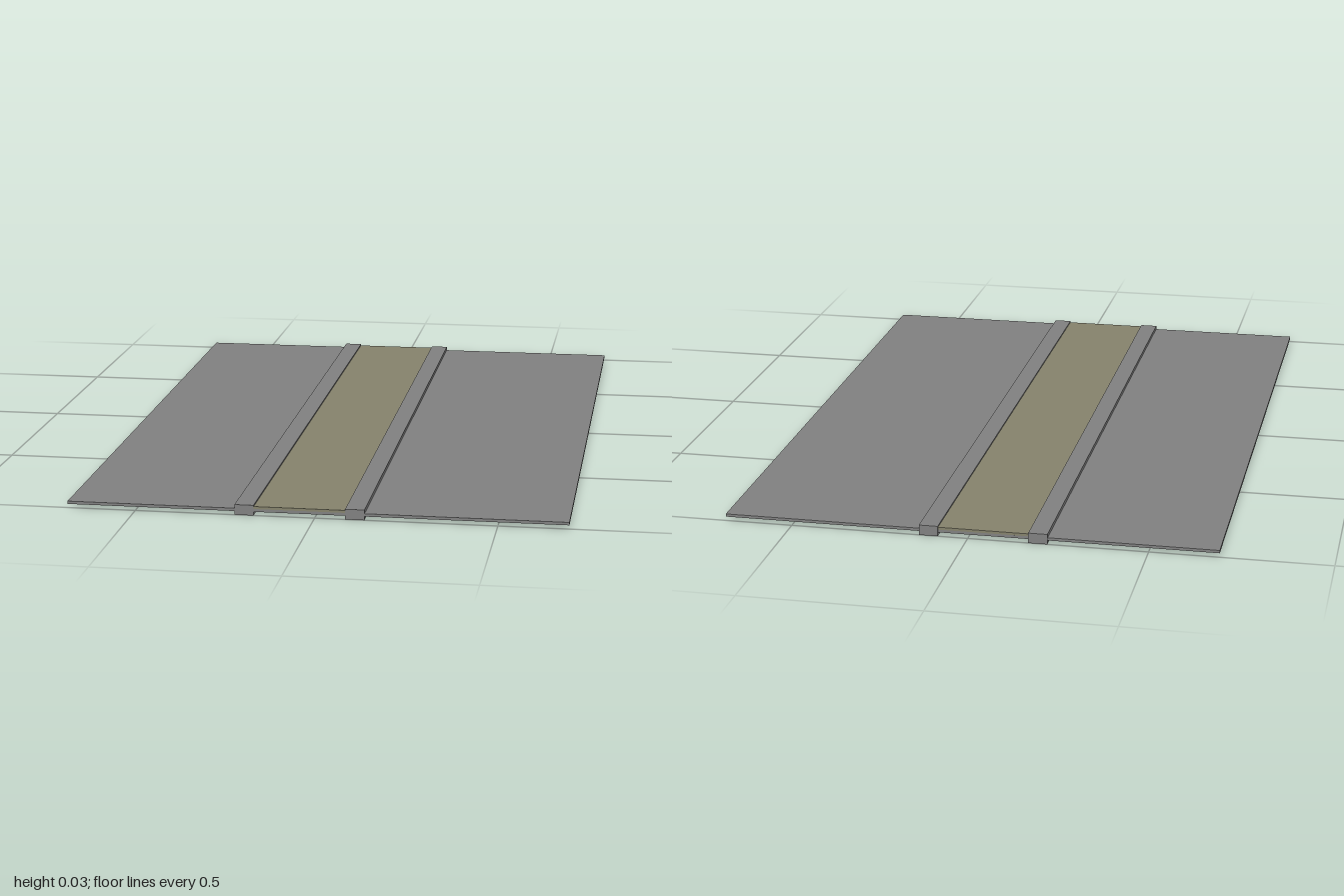
import * as THREE from 'three';

export function createModel() {
  const model = new THREE.Group();
  model.name = 'dividedRoad';

  const asphalt = new THREE.MeshStandardMaterial({ color: 0x808080 });
  asphalt.name = 'concrete grey';
  const grass = new THREE.MeshStandardMaterial({ color: 0x85826c });
  grass.name = 'dry olive';

  // Box given by its extents along each axis
  function slab(name, material, [x0, x1], [y0, y1], [z0, z1]) {
    const mesh = new THREE.Mesh(new THREE.BoxGeometry(x1 - x0, y1 - y0, z1 - z0), material);
    mesh.position.set((x0 + x1) / 2, (y0 + y1) / 2, (z0 + z1) / 2);
    mesh.name = name;
    model.add(mesh);
  }

  const length = [-0.996, 0.998];

  // Thin road deck
  slab('roadDeck', asphalt, [-0.692, 0.692], [0.01, 0.018], length);

  // Median strip, set off-centre between the kerbs
  slab('medianStrip', grass, [-0.172, 0.086], [0.018, 0.025], length);

  // Kerbs running the full length, standing above and below the deck
  for (const [name, x] of [['rightKerb', -0.222], ['leftKerb', 0.084]]) {
    slab(name, asphalt, [x, x + 0.053], [0, 0.029], [-1, 1]);
  }

  return model;
}
